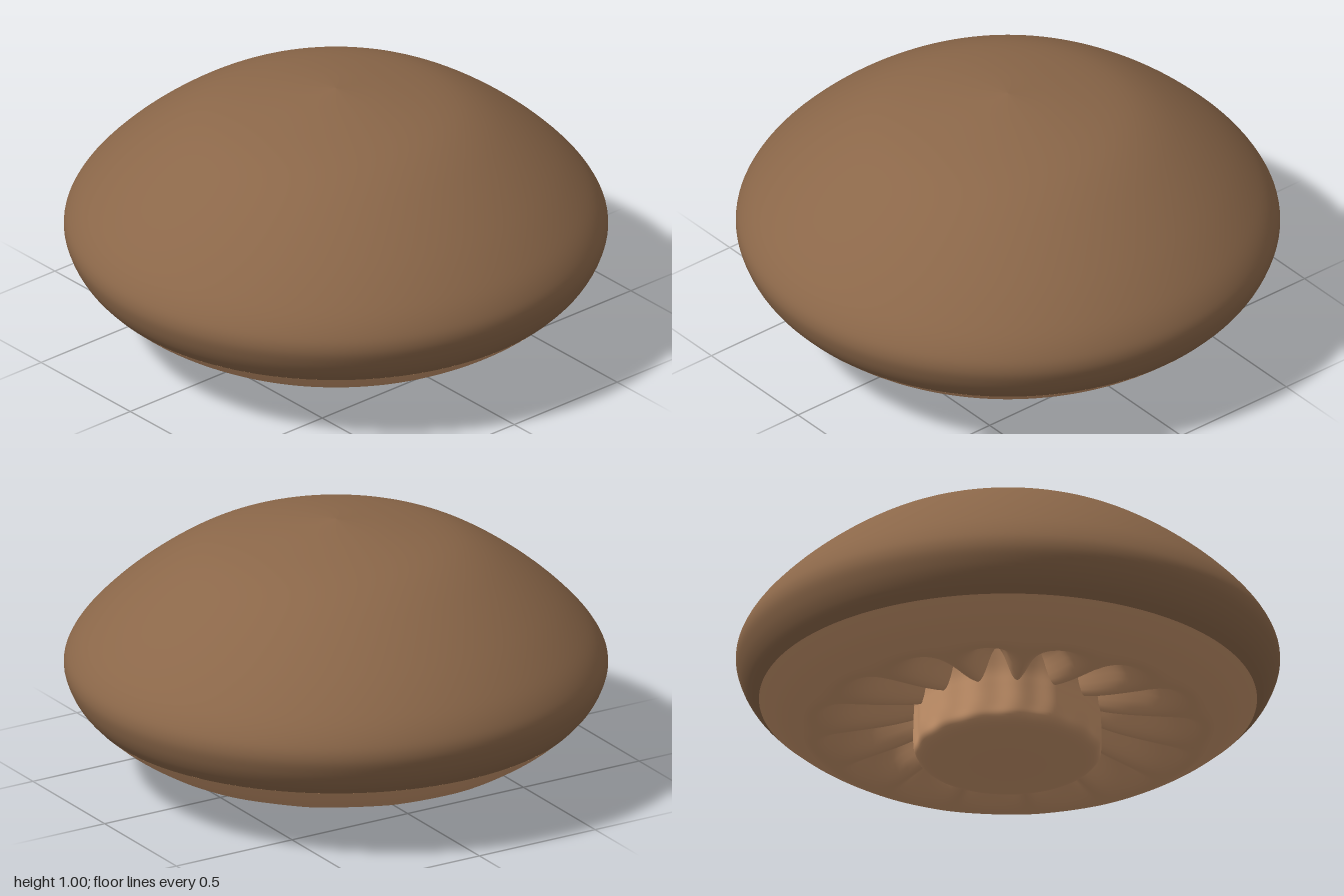
import * as THREE from 'three';
import { mergeVertices } from 'three/addons/utils/BufferGeometryUtils.js';

const GILLS = 15;
const GILL_OFFSET = Math.PI * 1.25;

// Smooth profile through a few [radius, height] points
function profile(points, divisions) {
  const curve = new THREE.SplineCurve(points.map(([r, y]) => new THREE.Vector2(r, y)));
  return curve.getPoints(divisions).map((p) => p.setX(Math.max(0, p.x)));
}

// Lathe whose vertices are moved by a rule(radius, height, angle) => [radius, height]
function turned(name, points, divisions, segments, color, rule) {
  let geo = new THREE.LatheGeometry(profile(points, divisions), segments);
  if (rule) {
    const pos = geo.attributes.position;
    for (let i = 0; i < pos.count; i++) {
      const a = Math.atan2(pos.getX(i), pos.getZ(i));
      const [r, y] = rule(Math.hypot(pos.getX(i), pos.getZ(i)), pos.getY(i), a);
      pos.setXYZ(i, r * Math.sin(a), y, r * Math.cos(a));
    }
    // Weld the seam so the normals stay smooth all round
    geo.deleteAttribute('uv');
    geo.deleteAttribute('normal');
    geo = mergeVertices(geo, 1e-5);
    geo.computeVertexNormals();
  }
  const material = new THREE.MeshStandardMaterial({ color, side: THREE.DoubleSide });
  const mesh = new THREE.Mesh(geo, material);
  mesh.name = name;
  return mesh;
}

// 1 in the middle of a groove, 0 on the ridge between two grooves
const groove = (a) => 0.5 + 0.5 * Math.cos(GILLS * (a - GILL_OFFSET));

export function createModel() {
  const group = new THREE.Group();
  group.name = 'mushroom';

  // Domed cap with a rounded rim
  group.add(turned('cap', [
    [0.915, 0.28], [0.955, 0.325], [0.985, 0.38], [1, 0.44], [0.985, 0.5], [0.93, 0.58],
    [0.82, 0.69], [0.68, 0.8], [0.54, 0.885], [0.4, 0.938], [0.2, 0.98], [0, 1.005],
  ], 60, 128, 0x8b6749));

  // Underside with radial grooves between the gills
  group.add(turned('gills', [
    [0.33, 0.2], [0.38, 0.185], [0.45, 0.17], [0.55, 0.155], [0.65, 0.145],
    [0.72, 0.147], [0.78, 0.178], [0.85, 0.225], [0.915, 0.28],
  ], 40, 240, 0xc8956c, (r, y, a) => {
    const depth = 0.13 * (1 - THREE.MathUtils.smoothstep(r, 0.5, 0.76));
    return [r, y + depth * groove(a)];
  }));

  // Short stem, faintly fluted, with a rounded foot
  group.add(turned('stem', [
    [0, 0.008], [0.14, 0.013], [0.25, 0.023], [0.31, 0.036], [0.34, 0.06],
    [0.348, 0.1], [0.348, 0.18], [0.35, 0.25], [0.37, 0.34],
  ], 36, 240, 0xc8956c, (r, y, a) => {
    const flute = THREE.MathUtils.smoothstep(y, 0.02, 0.12);
    return [r - 0.01 * flute * groove(a), y];
  }));

  return group;
}
